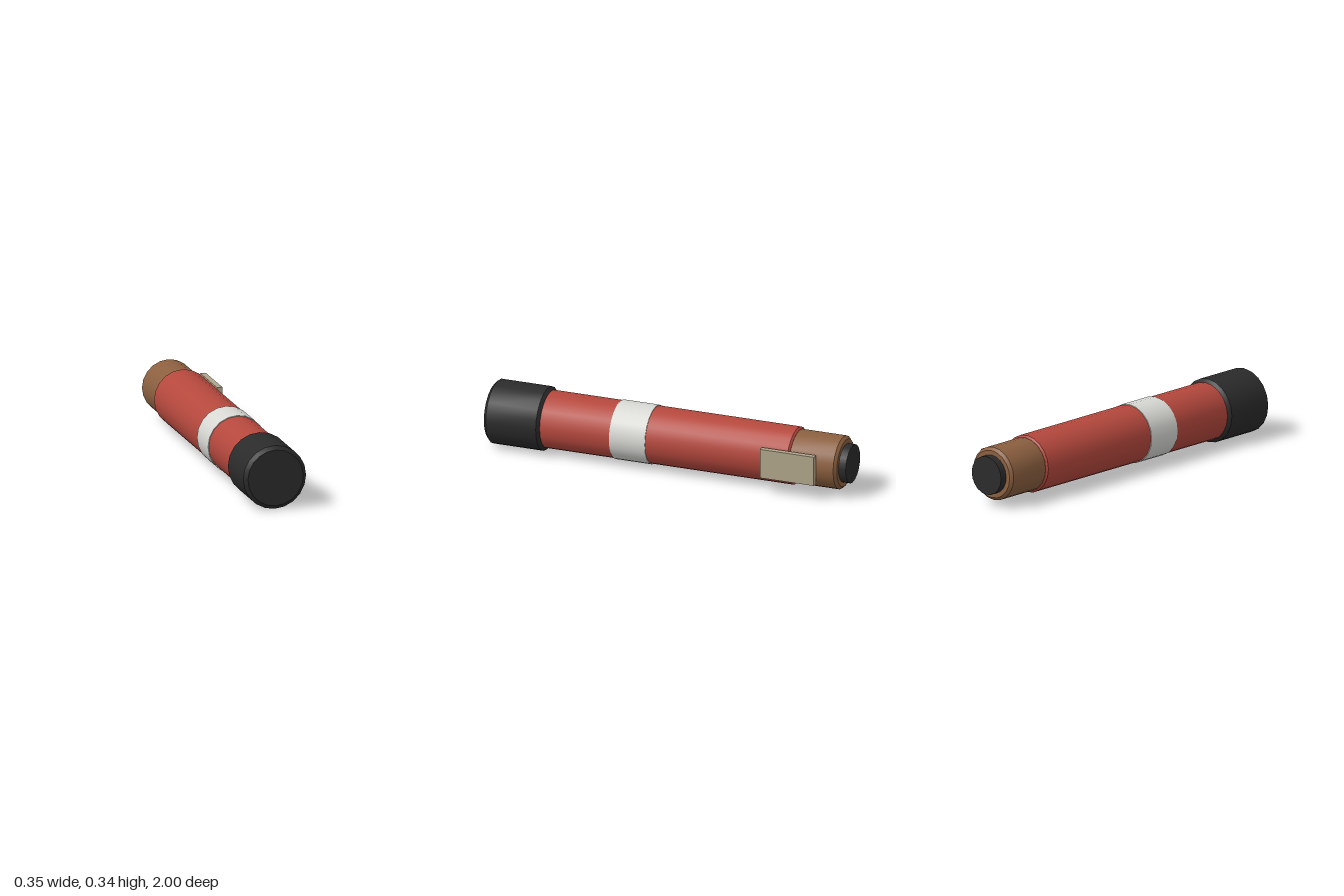
import * as THREE from 'three';
import { toCreasedNormals } from 'three/addons/utils/BufferGeometryUtils.js';

const material = (name, color) => {
  const m = new THREE.MeshStandardMaterial({ color });
  m.name = name;
  return m;
};

// Closed cylinder along z with bevelled rims; bevel is [radial, axial].
function barrel(radius, z0, z1, [br, bz]) {
  const profile = [
    [0, z0], [radius - br, z0], [radius, z0 + bz],
    [radius, z1 - bz], [radius - br, z1], [0, z1],
  ].map(([r, z]) => new THREE.Vector2(r, z));
  const geometry = new THREE.LatheGeometry(profile, 20).rotateX(Math.PI / 2);
  return toCreasedNormals(geometry, 0.5);
}

export function createModel() {
  const group = new THREE.Group();
  const black = material('black rubber', 0x2b2b2b);
  const red = material('red casing', 0xb5483d);
  const white = material('pale band', 0xd8d8d4);
  const brown = material('brown collar', 0x8c6040);
  const tan = material('tan clip', 0xb0a58a);

  const add = (name, geometry, mat, x = -0.003) => {
    const mesh = new THREE.Mesh(geometry, mat);
    mesh.name = name;
    mesh.position.set(x, 0.17, 0);
    group.add(mesh);
  };

  // Tube sections from front to back
  add('frontCap', barrel(0.17, 0.685, 1, [0.02, 0.018]), black);
  add('body', barrel(0.153, -0.7, 0.7, [0.01, 0.01]), red);
  add('collar', barrel(0.142, -0.96, -0.68, [0.015, 0.015]), brown);

  // Thin sleeve around the body
  const band = new THREE.CylinderGeometry(0.157, 0.157, 0.2, 20);
  add('band', band.rotateX(Math.PI / 2).translate(0, 0, 0.2), white);

  // Button at the rear end
  const button = new THREE.CylinderGeometry(0.103, 0.103, 0.06, 20);
  add('rearButton', button.rotateX(Math.PI / 2).translate(0, 0, -0.97), black);

  // Flat clip on the left side
  add('clip', new THREE.BoxGeometry(0.03, 0.16, 0.3).translate(0, 0, -0.7), tan, 0.157);

  return group;
}
